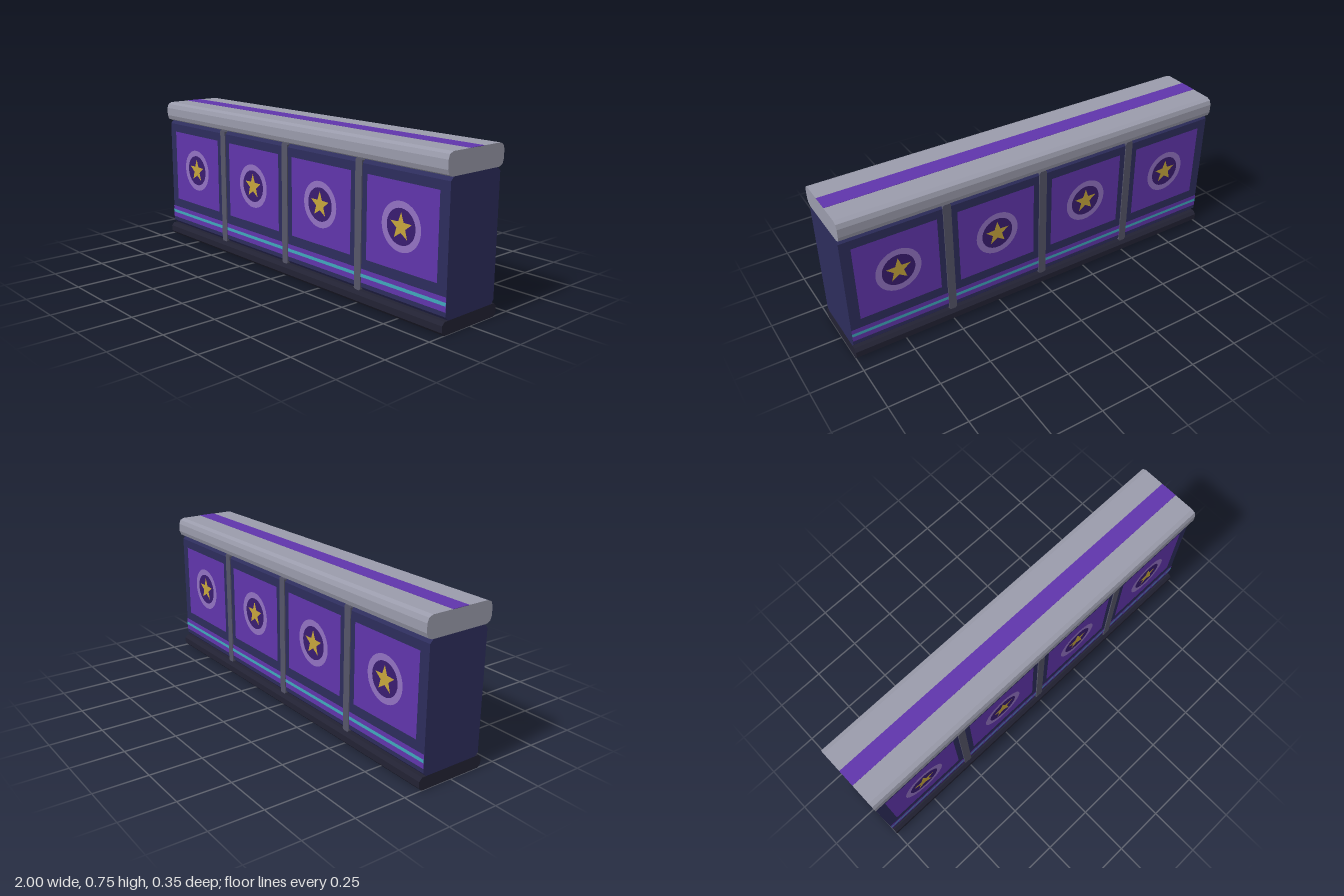
import * as THREE from 'three';

const mat = (name, color, extra = {}) => {
  const m = new THREE.MeshStandardMaterial({ color, ...extra });
  m.name = name;
  return m;
};

export function createModel() {
  const silver = mat('silver', 0x9a9bab);
  const navy = mat('navy', 0x2d2d5c);
  const dark = mat('dark base', 0x222233);
  const steel = mat('steel', 0x555568);
  const purple = mat('purple', 0x6035ab);
  const deep = mat('deep purple', 0x391c70);
  const lilac = mat('lilac', 0x9272c2);
  const gold = mat('gold', 0xc6a53c);
  const teal = mat('teal', 0x40a8bc);

  const root = new THREE.Group();
  root.name = 'barrier';
  const add = (parent, name, geo, material, x = 0, y = 0, z = 0) => {
    const m = new THREE.Mesh(geo, material);
    m.name = name;
    m.position.set(x, y, z);
    parent.add(m);
    return m;
  };

  // Symmetric beam along x; half-profile given as [z, y] from bottom to top
  const beam = (half) => {
    const pts = [...half, ...half.slice().reverse().map(([z, y]) => [-z, y])];
    const shape = new THREE.Shape(pts.map(([z, y]) => new THREE.Vector2(z, y)));
    const geo = new THREE.ExtrudeGeometry(shape, { depth: 2, bevelEnabled: false });
    return geo.translate(0, 0, -1).rotateY(Math.PI / 2);
  };

  add(root, 'base', beam([[0.16, 0], [0.175, 0.015], [0.175, 0.045], [0.16, 0.06]]), dark);
  add(root, 'body', beam([[0.138, 0.06], [0.155, 0.077], [0.155, 0.633], [0.138, 0.65]]), navy);
  add(root, 'topRail', beam([[0.147, 0.65], [0.167, 0.659], [0.175, 0.68],
    [0.175, 0.72], [0.167, 0.741], [0.147, 0.75]]), silver);
  add(root, 'topStripe', new THREE.BoxGeometry(2, 0.002, 0.086), purple, 0, 0.75, 0);

  // Dividing posts with clipped corners, passing through the body
  const w = 0.02, c = 0.007, y0 = 0.06, y1 = 0.652;
  const postShape = new THREE.Shape([[-w + c, y0], [w - c, y0], [w, y0 + c], [w, y1 - c],
    [w - c, y1], [-w + c, y1], [-w, y1 - c], [-w, y0 + c]].map(p => new THREE.Vector2(...p)));
  const postGeo = new THREE.ExtrudeGeometry(postShape, { depth: 0.32, bevelEnabled: false });
  for (const x of [-0.5, 0, 0.5]) add(root, 'post', postGeo, steel, x, 0, -0.16);

  // Five-pointed star
  const star = new THREE.Shape(Array.from({ length: 10 }, (_, i) => {
    const r = i % 2 ? 0.026 : 0.063, a = Math.PI / 2 + i * Math.PI / 5;
    return new THREE.Vector2(r * Math.cos(a), r * Math.sin(a));
  }));
  const panelGeo = new THREE.PlaneGeometry(0.4, 0.382);
  const ringGeo = new THREE.RingGeometry(0.08, 0.11, 32);
  const discGeo = new THREE.CircleGeometry(0.08, 32);
  const starGeo = new THREE.ShapeGeometry(star);

  // Painted details, the same on both long sides
  for (const angle of [0, Math.PI]) {
    const side = new THREE.Group();
    side.name = angle ? 'backFace' : 'frontFace';
    side.rotation.y = angle;
    root.add(side);
    for (const x of [-0.75, -0.25, 0.25, 0.75]) {
      add(side, 'panel', panelGeo, purple, x, 0.4, 0.1565);
      add(side, 'emblemRing', ringGeo, lilac, x, 0.4, 0.1575);
      add(side, 'emblemDisc', discGeo, deep, x, 0.4, 0.1575);
      add(side, 'emblemStar', starGeo, gold, x, 0.4, 0.1585);
    }
    add(side, 'lowerStripe', new THREE.PlaneGeometry(2, 0.064), purple, 0, 0.13, 0.1565);
    add(side, 'lightLine', new THREE.PlaneGeometry(2, 0.016), teal, 0, 0.132, 0.1575);
  }
  return root;
}
